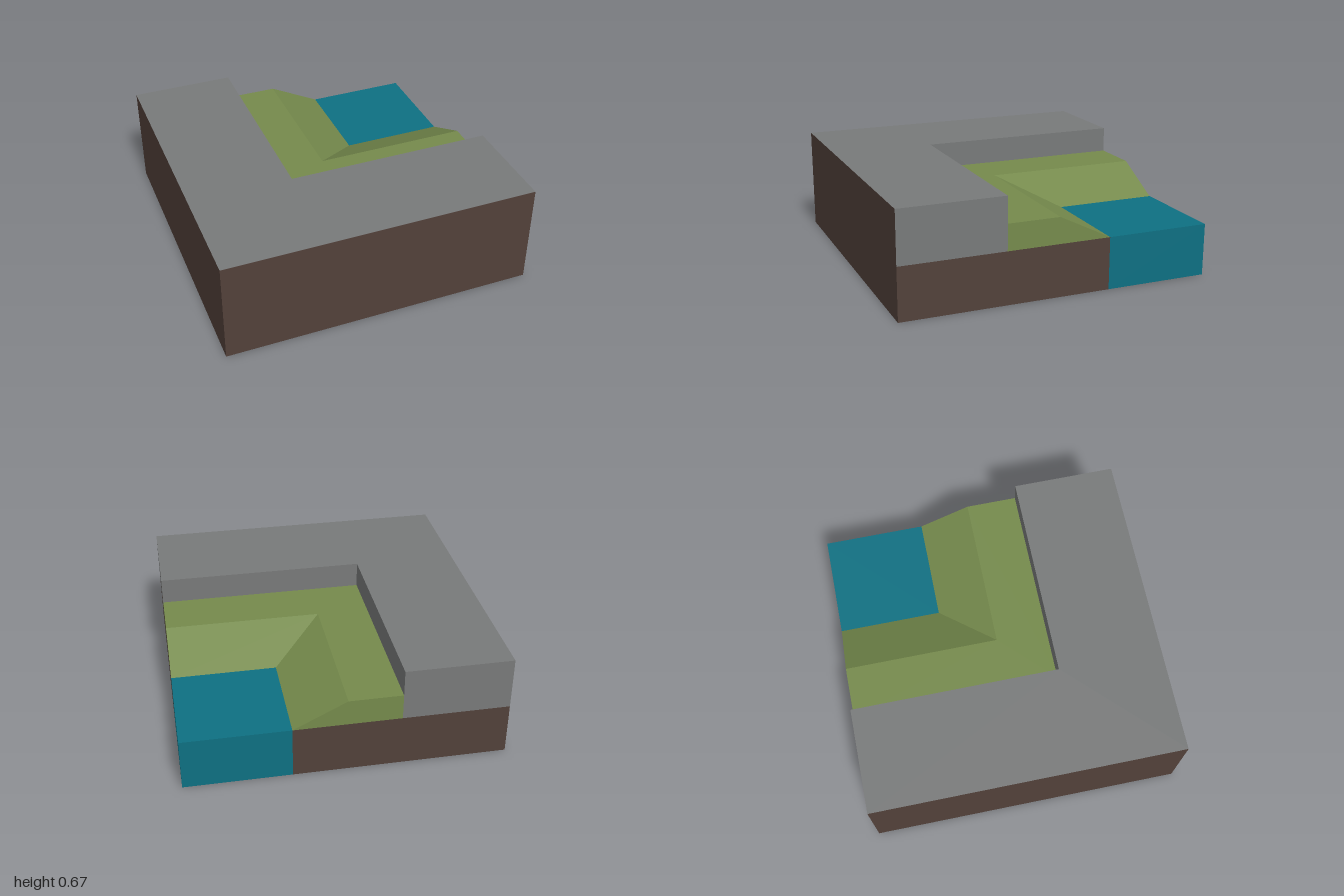
import * as THREE from 'three';

const T = 1 / 3;

// Sweeps a convex profile of [offset, height] points round the square corner.
// sideSlots gives the material index of each profile edge; end caps use slot 0.
function cornerSweep(profile, sideSlots = []) {
  const rings = profile.map(([s, y]) => [[s, y, -1], [s, y, -s], [1, y, -s]]);
  const n = rings.length;
  const position = [];
  const geometry = new THREE.BufferGeometry();
  const add = (slot, ...corners) => {
    geometry.addGroup(position.length / 3, corners.length, slot);
    corners.forEach((c) => position.push(...c));
  };
  for (let i = 0; i < n; i++) {
    const a = rings[i], b = rings[(i + 1) % n];
    for (let j = 0; j < 2; j++) {
      add(sideSlots[i] ?? 0, a[j], a[j + 1], b[j + 1], a[j], b[j + 1], b[j]);
    }
  }
  for (let i = 1; i < n - 1; i++) {
    add(0, rings[0][0], rings[i][0], rings[i + 1][0]);
    add(0, rings[0][2], rings[i + 1][2], rings[i][2]);
  }
  geometry.setAttribute('position', new THREE.Float32BufferAttribute(position, 3));
  geometry.computeVertexNormals();
  return geometry;
}

export function createModel() {
  const material = (name, color) => {
    const m = new THREE.MeshStandardMaterial({ color });
    m.name = name;
    return m;
  };
  const earth = material('earth brown', 0x52413a);
  const stone = material('stone grey', 0x787a7a);
  const grass = material('grass green', 0x758a4c);
  const water = material('water teal', 0x0e7082);

  const model = new THREE.Group();
  model.name = 'riverBankCorner';
  const add = (name, geometry, mat) => {
    const mesh = new THREE.Mesh(geometry, mat);
    mesh.name = name;
    model.add(mesh);
    return mesh;
  };

  // L-shaped earth base
  add('earthBase', cornerSweep([[-1, 0], [-1, T], [T, T], [T, 0]]), earth);

  // Raised pavement, whose outer walls are earth
  add('pavement', cornerSweep([[-1, T], [-1, 2 * T], [-T, 2 * T], [-T, T]], [1]), [stone, earth]);

  // Grass verge sloping down to the water
  add('grassBank', cornerSweep([[-T, T], [-T, 0.5], [0, 0.5], [T, T]]), grass);

  // Water block in the back corner
  add('water', new THREE.BoxGeometry(2 * T, T, 2 * T), water).position.set(2 * T, T / 2, -2 * T);

  return model;
}
